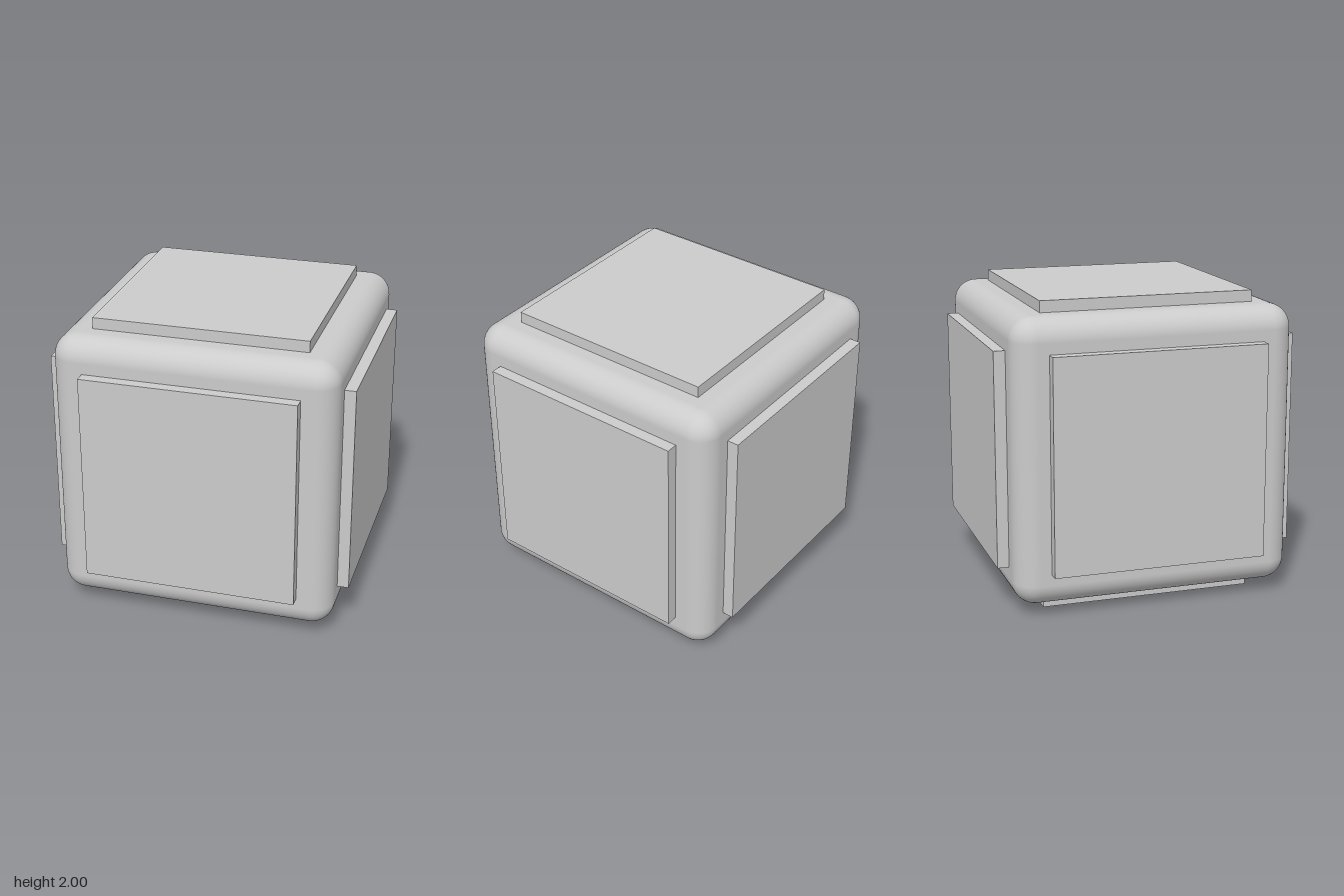
import * as THREE from 'three';
import { RoundedBoxGeometry } from 'three/addons/geometries/RoundedBoxGeometry.js';

const BODY = 1.85;   // edge length of the rounded cube
const RADIUS = 0.15; // edge rounding
const PANEL = 1.406; // side of each square panel
const SUNK = 0.02;   // depth of a panel inside the body

export function createModel() {
  const model = new THREE.Group();
  model.name = 'panelledCube';
  const material = new THREE.MeshStandardMaterial({ color: 0xcccccc });

  // Rounded core
  const body = new THREE.Mesh(new RoundedBoxGeometry(BODY, BODY, BODY, 8, RADIUS), material);
  body.name = 'body';
  body.position.y = 1;
  model.add(body);

  // One raised square panel on each face, reaching 1 unit from the centre
  const depth = 1 - BODY / 2 + SUNK;
  const panelGeometry = new THREE.BoxGeometry(PANEL, PANEL, depth);
  const faces = {
    frontPanel: [0, 0, 1],
    backPanel: [0, 0, -1],
    leftPanel: [1, 0, 0],
    rightPanel: [-1, 0, 0],
    topPanel: [0, 1, 0],
    bottomPanel: [0, -1, 0],
  };
  const forward = new THREE.Vector3(0, 0, 1);
  for (const [name, direction] of Object.entries(faces)) {
    const normal = new THREE.Vector3(...direction);
    const panel = new THREE.Mesh(panelGeometry, material);
    panel.name = name;
    panel.quaternion.setFromUnitVectors(forward, normal);
    panel.position.copy(normal).multiplyScalar(1 - depth / 2);
    panel.position.y += 1;
    model.add(panel);
  }

  return model;
}
